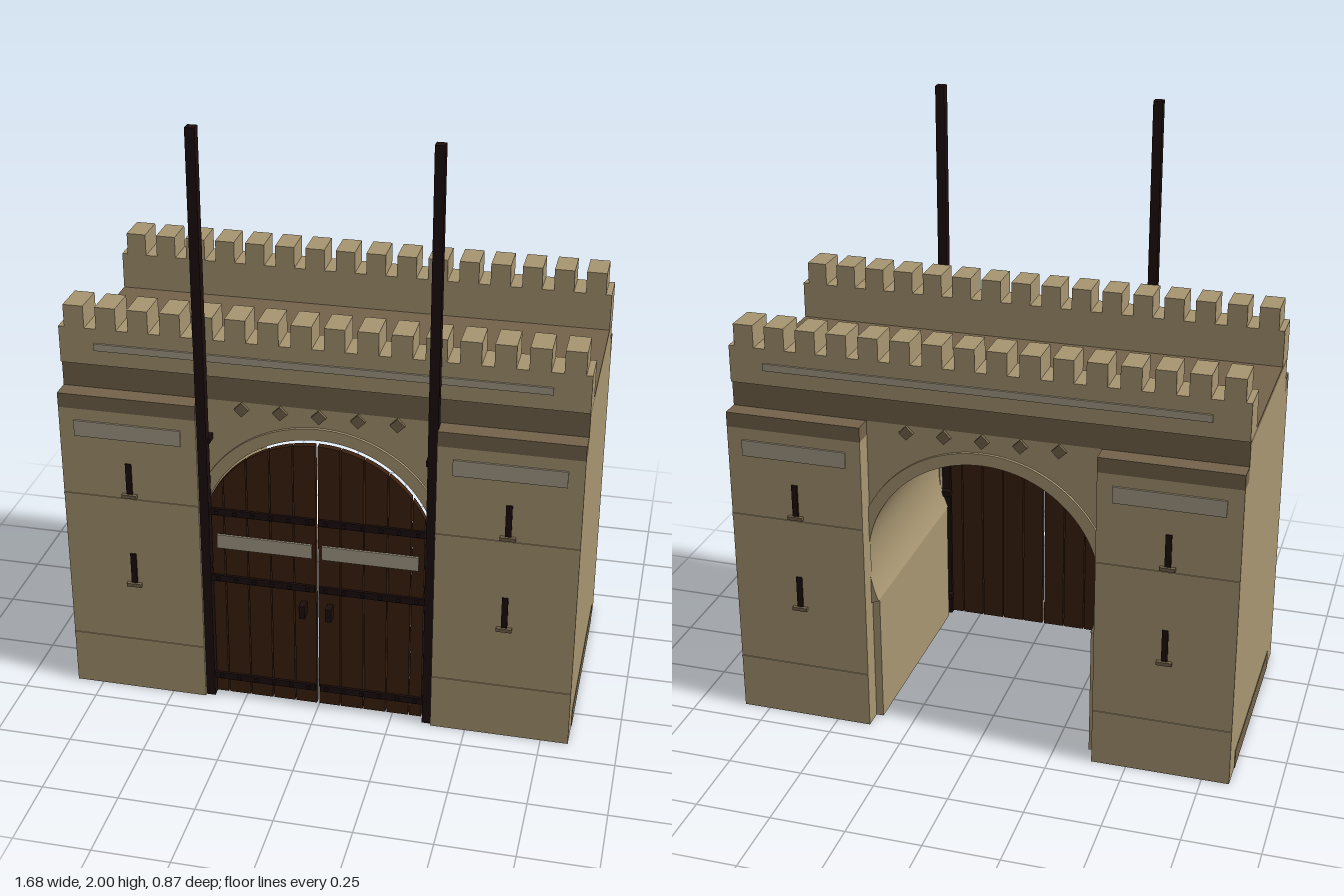
import * as THREE from 'three';

const mat = (name, color) => {
  const m = new THREE.MeshStandardMaterial({ color });
  m.name = name;
  return m;
};

export function createModel() {
  const stone = mat('sandstone', 0xa89672);
  const darkStone = mat('dark stone', 0x75644b);
  const wood = mat('door wood', 0x3a200f);
  const iron = mat('dark iron', 0x1d0e0d);
  const pale = mat('pale panel', 0xa79e88);
  const root = new THREE.Group();
  root.name = 'gatehouse';

  const add = (parent, name, geo, material) => {
    const m = new THREE.Mesh(geo, material);
    m.name = name;
    parent.add(m);
    return m;
  };
  // Box given by its two extremes on each axis
  const box = (parent, name, material, x0, x1, y0, y1, z0, z1) => {
    const m = add(parent, name, new THREE.BoxGeometry(x1 - x0, y1 - y0, z1 - z0), material);
    m.position.set((x0 + x1) / 2, (y0 + y1) / 2, (z0 + z1) / 2);
    return m;
  };
  const extrude = (shape, depth) =>
    new THREE.ExtrudeGeometry(shape, { depth, bevelEnabled: false, curveSegments: 40 });

  // Horseshoe arch dimensions
  const W = 0.84, FACE = 0.355, CY = 0.6, R = 0.39, JAMB = 0.36, PX = 0.385, PZ = 0.42;
  const a = Math.acos(JAMB / R);

  // Main block with the archway cut through
  const wall = new THREE.Shape();
  wall.moveTo(-W, 0);
  wall.lineTo(-JAMB, 0);
  wall.absarc(0, CY, R, Math.PI + a, -a, true);
  wall.lineTo(JAMB, 0);
  wall.lineTo(W, 0);
  wall.lineTo(W, 1.165);
  wall.lineTo(-W, 1.165);
  add(root, 'mainBlock', extrude(wall, FACE * 2), stone).position.z = -FACE;
  box(root, 'roofDeck', darkStone, -W, W, 1.165, 1.18, -FACE, FACE);

  // Dark plinth plates on the end walls
  for (const s of [-1, 1]) {
    const x = s * W;
    box(root, 'plinthPlate', darkStone, x - 0.002, x + 0.002, 0, 0.065, -0.325, 0.325);
  }

  // One decorated face, built for +z
  function buildFace() {
    const g = new THREE.Group();
    // Parapet and battlements
    box(g, 'cornice', darkStone, -W, W, 1.095, 1.18, FACE - 0.001, FACE + 0.003);
    box(g, 'parapet', stone, -W, W, 1.18, 1.305, 0.255, 0.368);
    for (let i = 0; i < 16; i++) {
      const x = (i - 7.5) * 0.105;
      box(g, 'merlon', stone, x - 0.033, x + 0.033, 1.305, 1.38, 0.255, 0.368);
    }
    box(g, 'parapetPanel', pale, -0.725, 0.725, 1.232, 1.256, 0.366, 0.374);

    // Arch moulding
    const ring = new THREE.Shape();
    ring.absarc(0, CY, 0.43, -a, Math.PI + a, false);
    ring.absarc(0, CY, R, Math.PI + a, -a, true);
    add(g, 'archMoulding', extrude(ring, 0.01), stone).position.z = FACE;

    // Diamond studs above the arch
    for (let i = -2; i <= 2; i++) {
      const d = add(g, 'diamond', new THREE.BoxGeometry(0.034, 0.034, 0.012), darkStone);
      d.position.set(i * 0.125, 1.07, FACE + 0.005);
      d.rotation.z = Math.PI / 4;
    }

    // Pilasters with caps, course bands, panels and arrow slits
    for (const s of [-1, 1]) {
      const p = new THREE.Group();
      p.name = s > 0 ? 'leftPilaster' : 'rightPilaster';
      g.add(p);
      const c = s * (PX + W) / 2, h = (W - PX) / 2, sx = s * 0.615;
      box(p, 'pilasterShaft', stone, c - h, c + h, 0, 1.045, FACE, PZ);
      box(p, 'pilasterCap', darkStone, c - h, c + h, 1.045, 1.095, FACE - 0.005, PZ);
      for (const y of [0.19, 0.73])
        box(p, 'courseBand', stone, c - h, c + h, y - 0.006, y + 0.006, PZ - 0.002, PZ + 0.003);
      box(p, 'pilasterPanel', pale, c - 0.177, c + 0.177, 0.95, 1.005, PZ - 0.002, PZ + 0.006);
      for (const y of [0.415, 0.75]) {
        box(p, 'arrowSlit', iron, sx - 0.01, sx + 0.01, y, y + 0.115, PZ - 0.002, PZ + 0.005);
        box(p, 'slitSill', darkStone, sx - 0.025, sx + 0.025, y - 0.007, y + 0.005, PZ - 0.002, PZ + 0.013);
      }
    }
    return g;
  }
  const front = buildFace(), back = buildFace();
  front.name = 'frontFace';
  back.name = 'backFace';
  back.rotation.y = Math.PI;
  root.add(front, back);

  // Door leaves of planks cut to the arch
  const edges = [0.002, 0.077, 0.154, 0.231, 0.308, 0.352];
  const top = x => CY + Math.sqrt(0.387 ** 2 - x * x);
  for (const s of [-1, 1]) {
    const leaf = new THREE.Group();
    leaf.name = s > 0 ? 'leftDoor' : 'rightDoor';
    root.add(leaf);
    const bar = (name, m, x0, x1, y0, y1, z0, z1) =>
      box(leaf, name, m, Math.min(s * x0, s * x1), Math.max(s * x0, s * x1), y0, y1, z0, z1);

    for (let i = 0; i < edges.length - 1; i++) {
      const x0 = edges[i] + 0.002, x1 = edges[i + 1] - 0.002;
      const plank = new THREE.Shape();
      plank.moveTo(s * x0, 0.015);
      plank.lineTo(s * x1, 0.015);
      for (let k = 0; k <= 6; k++) {
        const x = x1 + (x0 - x1) * k / 6;
        plank.lineTo(s * x, top(x));
      }
      add(leaf, 'plank', extrude(plank, 0.022), wood).position.z = 0.376;
    }
    // Iron straps with rivets
    for (const y of [0.08, 0.465, 0.715]) {
      bar('strap', iron, 0.008, 0.355, y - 0.012, y + 0.012, 0.396, 0.406);
      for (let i = 0; i < 6; i++) {
        const x = 0.03 + i * 0.06;
        bar('rivet', iron, x - 0.006, x + 0.006, y - 0.006, y + 0.006, 0.405, 0.412);
      }
    }
    bar('doorPanel', pale, 0.017, 0.332, 0.58, 0.63, 0.397, 0.405);
    bar('handle', iron, 0.034, 0.054, 0.365, 0.412, 0.396, 0.434);

    // Tall guide post and its brackets
    bar('guidePost', iron, 0.355, 0.386, 0, 2, 0.378, 0.41);
    for (const y of [0.08, 0.505, 0.965])
      bar('postBracket', iron, 0.348, 0.386, y - 0.01, y + 0.01, 0.355, 0.395);
  }
  return root;
}
